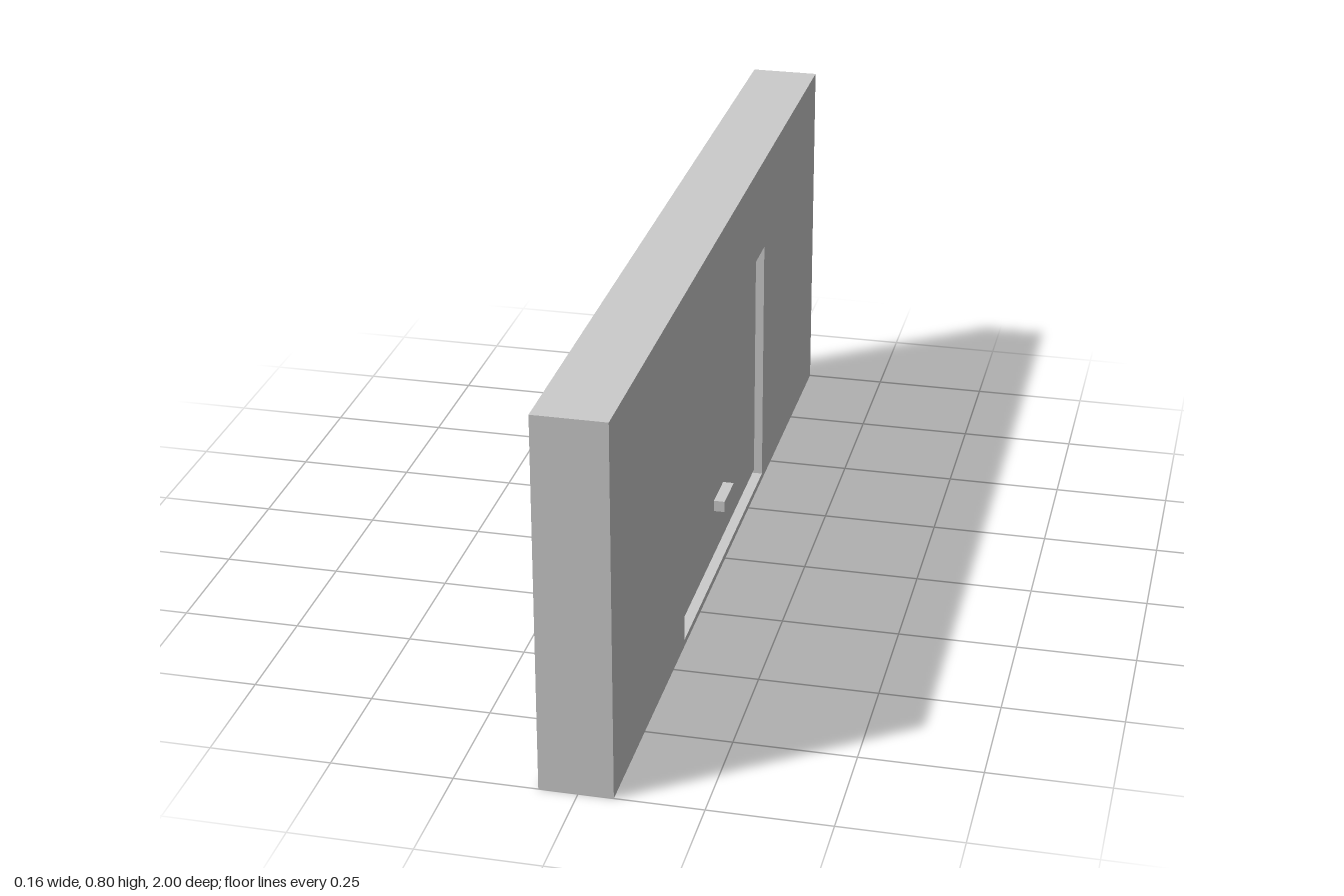
import * as THREE from 'three';

const FRONT = 0.071, BACK = -0.079, HEIGHT = 0.797;
const RECESS = 0.025, PANEL_INSET = 0.016;

export function createModel() {
  const group = new THREE.Group();
  const material = new THREE.MeshStandardMaterial({ color: 0xcccccc, flatShading: true });

  const add = (name, geometry) => {
    const mesh = new THREE.Mesh(geometry, material);
    mesh.name = name;
    group.add(mesh);
  };
  // box given by its x, y and z ranges
  const box = (name, [x0, x1], [y0, y1], [z0, z1]) => add(name,
    new THREE.BoxGeometry(x1 - x0, y1 - y0, z1 - z0)
      .translate((x0 + x1) / 2, (y0 + y1) / 2, (z0 + z1) / 2));
  const rectangle = (Type, w, y0, y1) => new Type([
    new THREE.Vector2(-w, y0), new THREE.Vector2(w, y0),
    new THREE.Vector2(w, y1), new THREE.Vector2(-w, y1),
  ]);

  // wall slab with a shallow rectangular recess in its +x face
  const outline = rectangle(THREE.Shape, 1, 0, HEIGHT);
  outline.holes.push(rectangle(THREE.Path, 0.4, 0.015, 0.586));
  add('wallFace', new THREE.ExtrudeGeometry(outline, { depth: RECESS, bevelEnabled: false })
    .rotateY(Math.PI / 2).translate(FRONT - RECESS, 0, 0));
  box('wallCore', [BACK, FRONT - RECESS], [0, HEIGHT], [-1, 1]);

  // door panel set in the recess, with a gap all round
  box('doorPanel', [FRONT - RECESS, FRONT - PANEL_INSET], [0.031, 0.579], [-0.385, 0.385]);

  // handle low on the door
  box('handle', [FRONT - PANEL_INSET, 0.079], [0.139, 0.164], [-0.047, 0.047]);

  return group;
}
